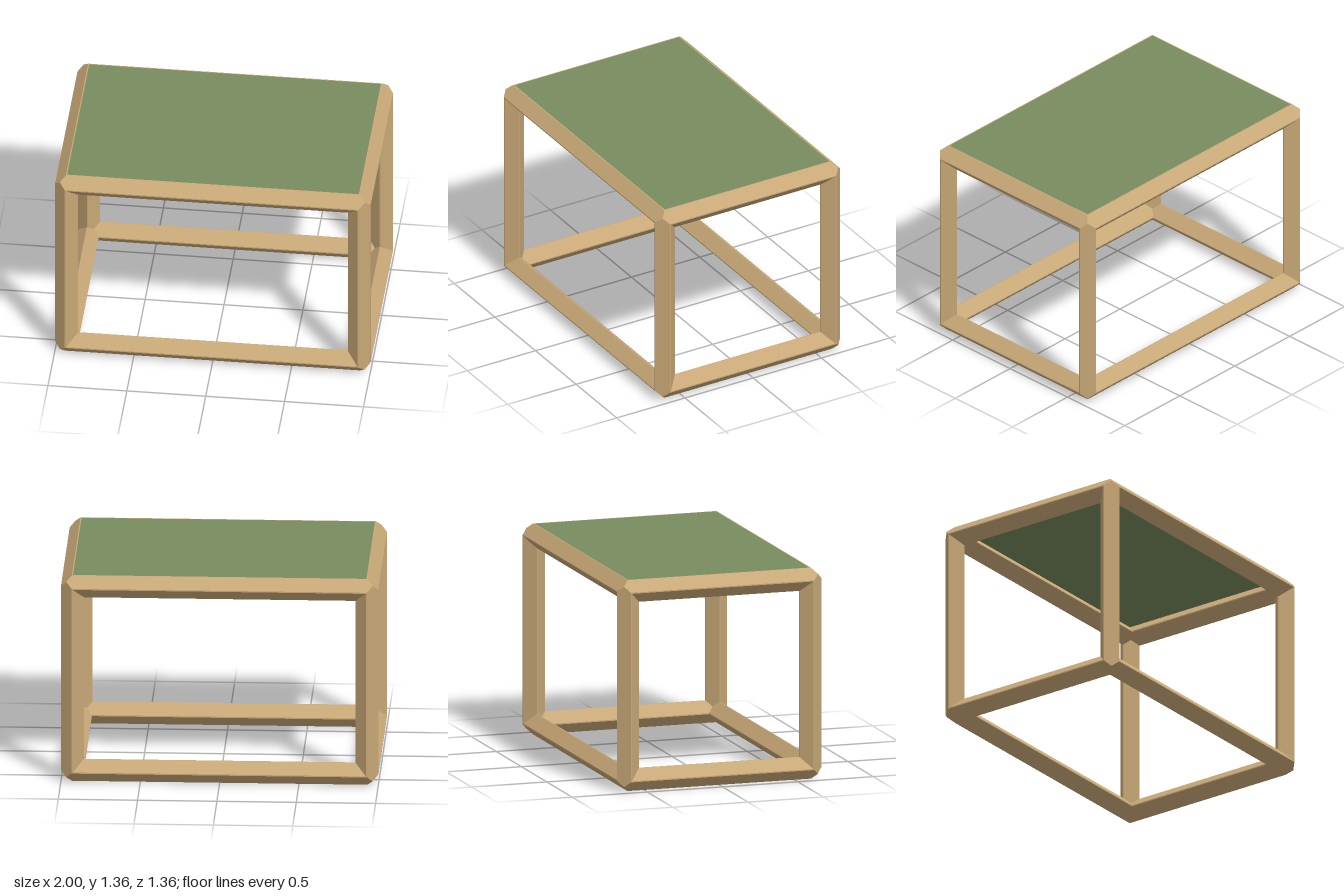
import * as THREE from 'three';

const R = 0.072;                      // half diagonal of the diamond bar section
const BEVEL = 0.05;                   // half width of the worn ridges, relative to R
const HALF = [0.928, 0.606, 0.606];   // bar centre lines from the frame centre (x, y, z)
const CENTRE_Y = HALF[1] + R;

// Section corners, with u and v pointing outward from the frame
const MID = (1 + BEVEL) / 2;
const SECTION = [
  [1, -BEVEL], [1, BEVEL], [MID, MID], [BEVEL, 1], [-BEVEL, 1],
  [-1, BEVEL], [-1, -BEVEL], [-MID, -MID], [-BEVEL, -1], [BEVEL, -1],
];

// Diamond bar along one axis, on the frame edge given by signs su and sv, mitred at both ends
function barGeometry(axis, su, sv) {
  const u = (axis + 1) % 3, v = (axis + 2) % 3;
  const point = (i, end) => {
    const [pu, pv] = SECTION[i % SECTION.length];
    const p = [0, 0, 0];
    p[axis] = end * (HALF[axis] + Math.min(pu, pv) * R);   // three-way mitre
    p[u] = su * (HALF[u] + pu * R);
    p[v] = sv * (HALF[v] + pv * R);
    return p;
  };
  const positions = [];
  for (let i = 0; i < SECTION.length; i++) {
    const a = point(i, -1), b = point(i + 1, -1), c = point(i + 1, 1), d = point(i, 1);
    const corners = su * sv > 0 ? [a, b, c, a, c, d] : [a, c, b, a, d, c];
    positions.push(...corners.flat());
  }
  const geometry = new THREE.BufferGeometry();
  geometry.setAttribute('position', new THREE.Float32BufferAttribute(positions, 3));
  geometry.computeVertexNormals();
  return geometry;
}

export function createModel() {
  const model = new THREE.Group();
  model.name = 'table';
  const wood = new THREE.MeshStandardMaterial({ color: 0xc8a877, flatShading: true });
  const green = new THREE.MeshStandardMaterial({ color: 0x798c5f, side: THREE.DoubleSide });

  // Twelve bars along the edges of a box
  const frame = new THREE.Group();
  frame.name = 'frame';
  frame.position.y = CENTRE_Y;
  ['lengthRail', 'leg', 'depthRail'].forEach((name, axis) => {
    for (const su of [-1, 1]) for (const sv of [-1, 1]) {
      const bar = new THREE.Mesh(barGeometry(axis, su, sv), wood);
      bar.name = name;
      frame.add(bar);
    }
  });
  model.add(frame);

  // Thin top, flush with the upper ridges of the frame
  const inset = BEVEL * R;
  const top = new THREE.Mesh(
    new THREE.PlaneGeometry(2 * (HALF[0] - inset), 2 * (HALF[2] - inset)), green);
  top.name = 'tableTop';
  top.rotation.x = -Math.PI / 2;
  top.position.y = CENTRE_Y + HALF[1] + R;
  model.add(top);

  return model;
}
